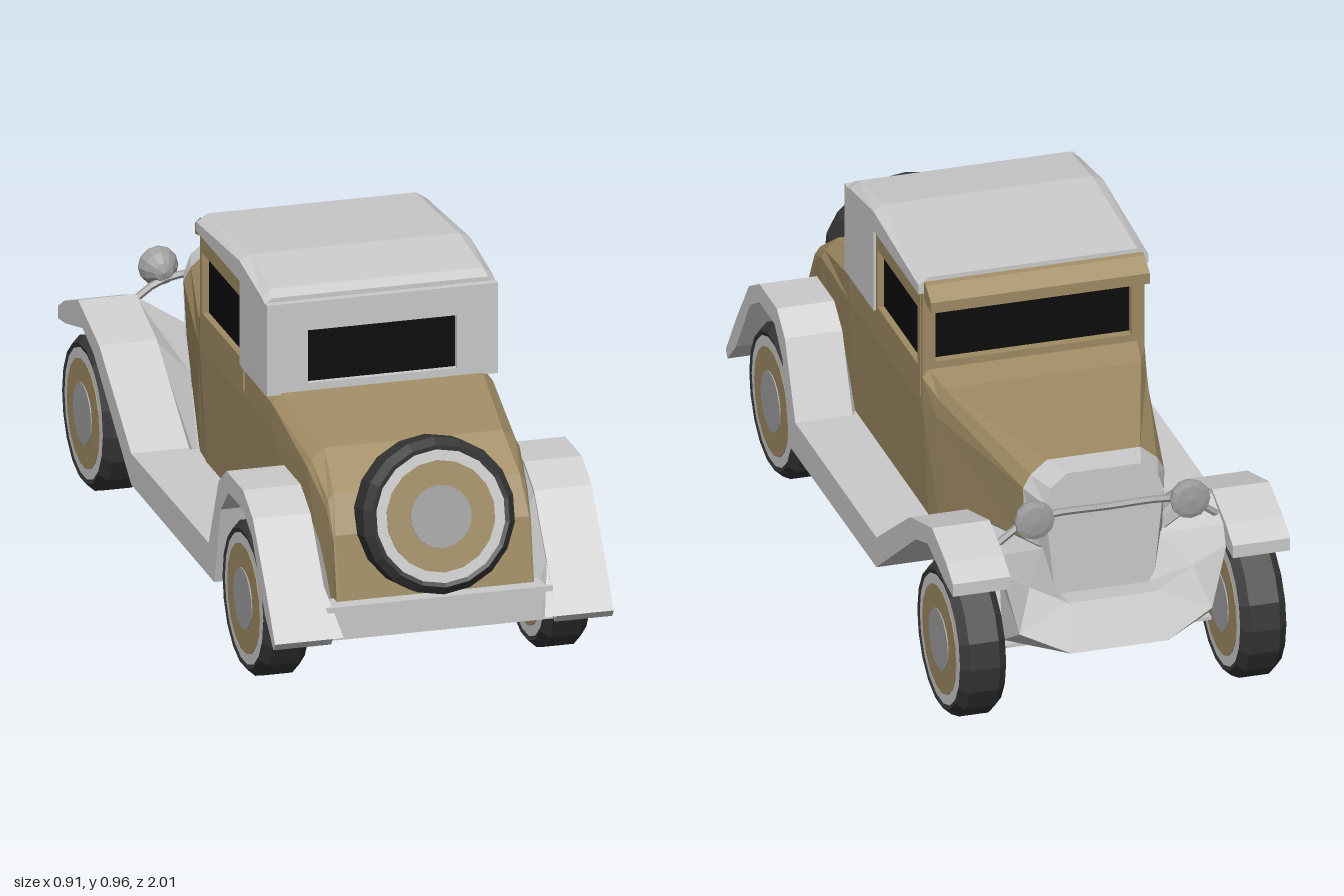
import * as THREE from 'three';

const mat = (color) => new THREE.MeshStandardMaterial({ color, flatShading: true, side: THREE.DoubleSide });
const grey = mat(0xcccccc), tan = mat(0xa08c64), black = mat(0x0c0c0c), rubber = mat(0x363636);
const white = mat(0xe4e4e4), hubGrey = mat(0xa0a0a0);

export function createModel() {
  const car = new THREE.Group();

  const add = (name, geo, material, parent = car) => {
    const mesh = new THREE.Mesh(geo, material);
    mesh.name = name;
    parent.add(mesh);
    return mesh;
  };

  // Box given by its limits
  const box = (name, [x0, x1], [y0, y1], [z0, z1], material) => {
    const geo = new THREE.BoxGeometry(x1 - x0, y1 - y0, z1 - z0);
    geo.translate((x0 + x1) / 2, (y0 + y1) / 2, (z0 + z1) / 2);
    return add(name, geo, material);
  };

  const meshFrom = (points, index) => {
    const geo = new THREE.BufferGeometry();
    geo.setAttribute('position', new THREE.Float32BufferAttribute(points.flat(), 3));
    geo.setIndex(index);
    geo.computeVertexNormals();
    return geo;
  };

  // Solid through mirrored cross-sections: [z, [x, y], ...] listed bottom to top
  const loft = (sections) => {
    const pts = [], index = [];
    const n = (sections[0].length - 1) * 2;
    for (const [z, ...half] of sections) {
      for (const [x, y] of half) pts.push([x, y, z]);
      for (const [x, y] of [...half].reverse()) pts.push([-x, y, z]);
    }
    const last = (sections.length - 1) * n;
    for (let s = 0; s < last; s += n) {
      for (let i = 0; i < n; i++) {
        const j = (i + 1) % n;
        index.push(s + i, s + j, s + n + i, s + j, s + n + j, s + n + i);
      }
    }
    for (let i = 1; i < n - 1; i++) {
      index.push(0, i + 1, i, last, last + i, last + i + 1);
    }
    return meshFrom(pts, index);
  };

  // Sheet between rows of points
  const sheet = (...rows) => {
    const n = rows[0].length, index = [];
    for (let r = 0; r < rows.length - 1; r++) {
      for (let i = 0; i < n - 1; i++) {
        const a = r * n + i;
        index.push(a, a + 1, a + n, a + 1, a + n + 1, a + n);
      }
    }
    return meshFrom(rows.flat(), index);
  };

  const shapeOf = (pts) => new THREE.Shape(pts.map((p) => new THREE.Vector2(...p)));
  const rect = (x0, x1, y0, y1) => [[x0, y0], [x1, y0], [x1, y1], [x0, y1]];

  // Side profile of (z, y) points, extruded from x0 to x1, with an optional hole
  const sideProfile = (pts, x0, x1, hole) => {
    const shape = shapeOf(pts);
    if (hole) shape.holes.push(shapeOf(hole));
    const geo = new THREE.ExtrudeGeometry(shape, { depth: x1 - x0, bevelEnabled: false });
    return geo.rotateY(-Math.PI / 2).translate(x1, 0, 0);
  };

  // Frame facing along z
  const frame = (outer, hole, z0, z1) => {
    const shape = shapeOf(outer);
    shape.holes.push(shapeOf(hole));
    return new THREE.ExtrudeGeometry(shape, { depth: z1 - z0, bevelEnabled: false }).translate(0, 0, z0);
  };

  // Body: rear deck, tub, cowl and bonnet
  add('body', loft([
    [0.91, [0.265, 0.2], [0.265, 0.26], [0.265, 0.265], [0.26, 0.27]],
    [0.88, [0.265, 0.2], [0.265, 0.42], [0.265, 0.43], [0.26, 0.44]],
    [0.83, [0.27, 0.2], [0.27, 0.5], [0.265, 0.52], [0.25, 0.54]],
    [0.71, [0.275, 0.2], [0.285, 0.57], [0.275, 0.59], [0.24, 0.62]],
    [0.43, [0.28, 0.2], [0.297, 0.58], [0.297, 0.65], [0.27, 0.675]],
    [-0.21, [0.28, 0.2], [0.3, 0.58], [0.3, 0.66], [0.28, 0.68]],
    [-0.29, [0.275, 0.25], [0.285, 0.58], [0.28, 0.63], [0.265, 0.66]],
    [-0.73, [0.18, 0.4], [0.19, 0.57], [0.17, 0.605], [0.125, 0.642]],
  ]), tan);
  add('radiator', loft([
    [-0.73, [0.18, 0.3], [0.191, 0.57], [0.171, 0.606], [0.126, 0.643]],
    [-0.82, [0.13, 0.27], [0.16, 0.56], [0.145, 0.605], [0.1, 0.642]],
  ]), grey);

  // Cabin: dark glass core inside pierced frames
  box('glass', [-0.285, 0.285], [0.67, 0.91], [-0.185, 0.38], black);
  add('windshieldFrame', frame(rect(-0.3, 0.3, 0.66, 0.9), rect(-0.265, 0.265, 0.7, 0.86), -0.21, -0.185), tan);
  for (const x0 of [-0.303, 0.283]) {
    add('doorWindowFrame', sideProfile(rect(-0.2, 0.19, 0.6, 0.9), x0, x0 + 0.02, rect(-0.18, 0.168, 0.685, 0.85)), tan);
  }
  add('sunVisor', sideProfile([[-0.2, 0.935], [-0.225, 0.93], [-0.27, 0.9], [-0.27, 0.87], [-0.2, 0.885]], -0.295, 0.295), tan);

  // Fabric top: rear quarters, roof and rear window frame
  add('rearQuarters', loft([
    [0.41, [0.31, 0.67], [0.31, 0.915], [0.29, 0.93]],
    [0.38, [0.31, 0.67], [0.31, 0.925], [0.285, 0.945]],
    [0.18, [0.31, 0.67], [0.31, 0.955], [0.28, 0.97]],
  ]), grey);
  add('roof', loft([
    [0.18, [0.31, 0.9], [0.31, 0.955], [0.28, 0.97]],
    [-0.21, [0.31, 0.9], [0.31, 0.925], [0.28, 0.945]],
  ]), grey);
  add('rearWindowFrame', frame(rect(-0.31, 0.31, 0.67, 0.918), rect(-0.2, 0.2, 0.695, 0.84), 0.41, 0.43), grey);
  box('rearWindow', [-0.2, 0.2], [0.695, 0.84], [0.405, 0.414], black);

  // Fenders and running boards in one profile per side
  const fenderTop = [[0.99, 0.2], [0.9, 0.33], [0.79, 0.475], [0.7, 0.523], [0.55, 0.523], [0.48, 0.47], [0.39, 0.27],
    [-0.31, 0.27], [-0.6, 0.465], [-0.79, 0.523], [-0.91, 0.48], [-0.97, 0.445]];
  const fenderBottom = [[-0.97, 0.41], [-0.9, 0.42], [-0.75, 0.46], [-0.65, 0.425], [-0.31, 0.185], [0.44, 0.18],
    [0.5, 0.4], [0.57, 0.47], [0.7, 0.47], [0.78, 0.425], [0.9, 0.25], [0.975, 0.18]];
  const innerX = [0.27, 0.27, 0.27, 0.275, 0.28, 0.285, 0.28, 0.27, 0.21, 0.155, 0.14, 0.27];
  const at = (x, drop) => ([z, y], i) => [typeof x === 'number' ? x : x[i], Math.max(y - drop, 0.2), z];
  for (const s of [1, -1]) {
    const side = new THREE.Group();
    side.name = s > 0 ? 'leftFenders' : 'rightFenders';
    side.scale.x = s;
    car.add(side);
    add('fenderAndRunningBoard', sideProfile([...fenderTop, ...fenderBottom], 0.3, 0.455), grey, side);
    // Sloping panels between fender and body
    const outer = fenderTop.map(at(0.302, 0.005)), inner = fenderTop.map(at(innerX, 0.1));
    add('rearInnerPanel', sheet(outer.slice(0, 7), inner.slice(0, 7)), grey, side);
    add('frontInnerPanel', sheet(outer.slice(7, 10), inner.slice(7, 10)), grey, side);
    // Half of the curved front apron
    add('frontApron', sheet(
      [[0.302, 0.515, -0.79], [0.155, 0.42, -0.79], [0.12, 0.3, -0.82], [0, 0.3, -0.82]],
      [[0.302, 0.47, -0.89], [0.22, 0.36, -0.88], [0.12, 0.31, -0.9], [0, 0.31, -0.9]],
      [[0.302, 0.42, -0.91], [0.26, 0.25, -0.92], [0.13, 0.19, -0.95], [0, 0.19, -0.95]],
      [[0.302, 0.41, -0.88], [0.28, 0.2, -0.84], [0.13, 0.182, -0.84], [0, 0.182, -0.84]],
    ), grey, side);
  }

  // Floor and rear apron
  box('floor', [-0.303, 0.303], [0.18, 0.265], [-0.31, 0.44], grey);
  box('rearFloor', [-0.303, 0.303], [0.18, 0.2], [0.44, 0.9], grey);
  box('frontFloor', [-0.28, 0.28], [0.18, 0.19], [-0.85, -0.31], grey);
  box('rearApron', [-0.303, 0.303], [0.18, 0.27], [0.88, 0.95], grey);

  // Wheel with its axle along y
  const wheel = (name) => {
    const g = new THREE.Group();
    g.name = name;
    const tyre = [[0.17, -0.058], [0.185, -0.062], [0.205, -0.04], [0.205, 0.04], [0.185, 0.062], [0.17, 0.058]];
    add('tyre', new THREE.LatheGeometry(tyre.map((p) => new THREE.Vector2(...p)), 18), rubber, g);
    const disc = (part, r, h, m) => add(part, new THREE.CylinderGeometry(r, r, h, 18), m, g);
    disc('whitewall', 0.176, 0.118, white);
    disc('rim', 0.146, 0.122, tan);
    disc('hub', 0.082, 0.128, hubGrey);
    car.add(g);
    return g;
  };
  for (const s of [1, -1]) {
    for (const [name, z] of [['rearWheel', 0.65], ['frontWheel', -0.8]]) {
      const w = wheel(name);
      w.rotation.z = Math.PI / 2;
      w.position.set(s * 0.378, 0.207, z);
    }
  }
  const spare = wheel('spareWheel');
  spare.rotation.x = 1.33;
  spare.position.set(0, 0.48, 0.9);

  // Headlamps on a curved crossbar
  const bowl = [[0, -0.035], [0.025, -0.028], [0.045, 0], [0.053, 0.022], [0.053, 0.032], [0.04, 0.036], [0, 0.04]];
  for (const s of [1, -1]) {
    const lamp = add('headlamp', new THREE.LatheGeometry(bowl.map((p) => new THREE.Vector2(...p)), 12), hubGrey);
    lamp.rotation.x = -Math.PI / 2;
    lamp.position.set(s * 0.21, 0.557, -0.865);
  }
  const bar = new THREE.CatmullRomCurve3([[-0.31, 0.47], [-0.21, 0.535], [0, 0.545], [0.21, 0.535], [0.31, 0.47]]
    .map(([x, y]) => new THREE.Vector3(x, y, -0.845)));
  add('headlampBar', new THREE.TubeGeometry(bar, 16, 0.01, 6), hubGrey);

  return car;
}
